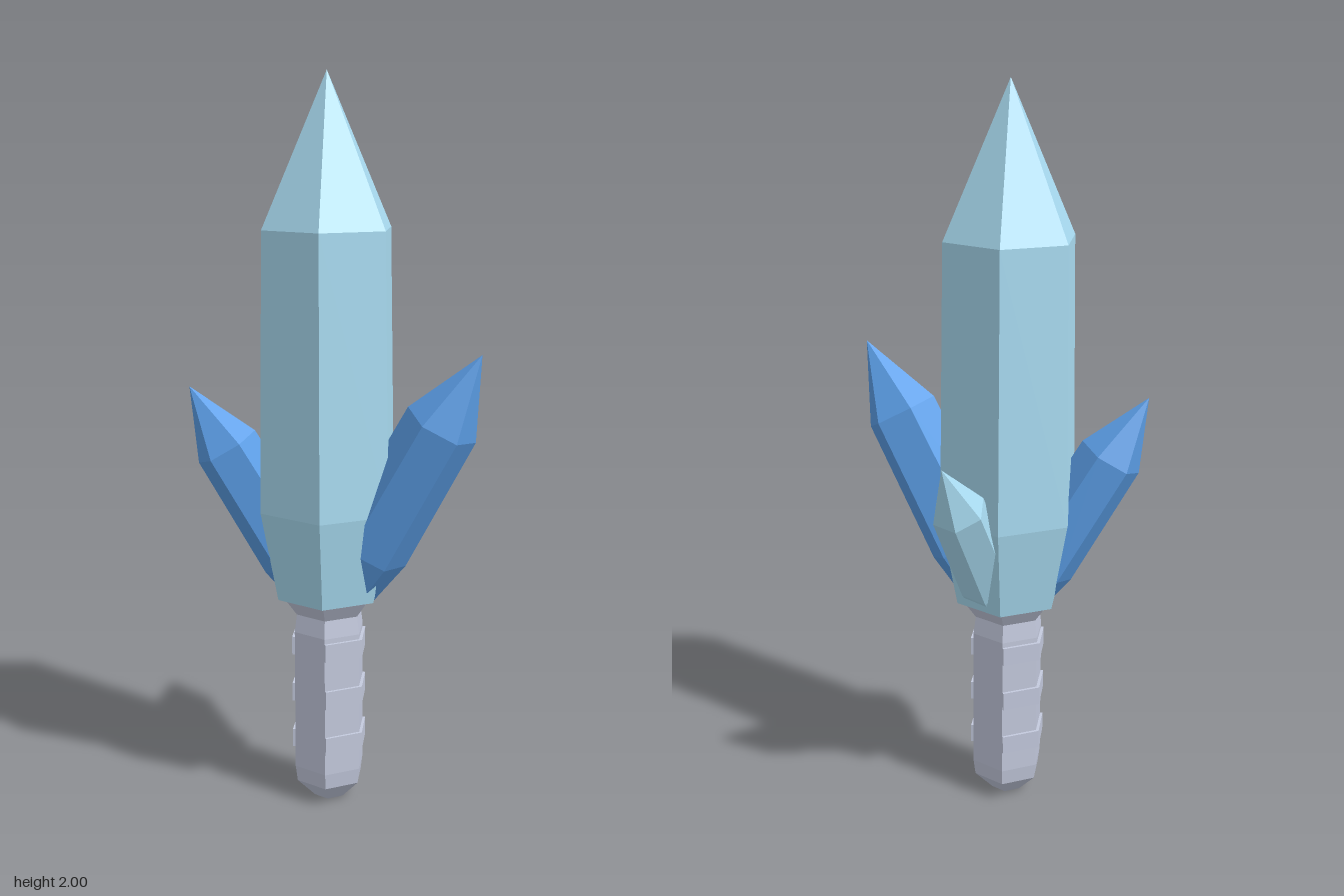
import * as THREE from 'three';

const AXIS = [-0.055, 0.042]; // x, z of the blade and grip

const material = (color) => new THREE.MeshStandardMaterial({ color, flatShading: true });

// Six-sided solid turned from [radius, height] pairs, bottom to top
function hexLathe(name, profile, mat, twist) {
  const points = profile.map(([r, y]) => new THREE.Vector2(r, y));
  const geometry = new THREE.LatheGeometry(points, 6).rotateY(twist);
  const mesh = new THREE.Mesh(geometry, mat);
  mesh.name = name;
  return mesh;
}

// Crystal with its tip at the origin, pointing up
const crystalProfile = [[0, -1.4], [0.15, -1.4], [0.198, -1.15], [0.185, -0.4], [0, 0]];

function crystal(name, tip, direction, scale, twist, mat) {
  const mesh = hexLathe(name, crystalProfile, mat, twist);
  mesh.position.set(...tip);
  mesh.scale.setScalar(scale);
  const up = new THREE.Vector3(0, 1, 0);
  mesh.quaternion.setFromUnitVectors(up, new THREE.Vector3(...direction).normalize());
  return mesh;
}

export function createModel() {
  const model = new THREE.Group();
  const ice = material(0xaaddf3);
  const blue = material(0x5c9fe8);
  const steel = material(0xc4cade);
  const flat = Math.PI / 6; // puts corners on the x axis

  // Blade and the shards growing out of it
  model.add(
    crystal('blade', [AXIS[0], 2, AXIS[1]], [0, 1, 0], 1, flat, ice),
    crystal('leftShard', [0.355, 1.29, -0.07], [0.47, 0.874, -0.12], 0.545, 0, blue),
    crystal('rightShard', [-0.36, 1.18, 0.255], [-0.47, 1, 0.35], 0.48, 0.12, blue),
    crystal('backShard', [-0.088, 1.06, -0.277], [-0.1, 1, -0.6], 0.4, flat, ice)
  );

  // Grip with rounded pommel and flared collar
  const gripProfile = [
    [0, 0], [0.045, 0], [0.098, 0.055], [0.104, 0.1],
    [0.103, 0.5], [0.096, 0.55], [0.128, 0.595], [0, 0.6],
  ];
  const grip = hexLathe('grip', gripProfile, steel, flat);
  grip.position.set(AXIS[0], 0, AXIS[1]);
  model.add(grip);

  // Raised bands wrapping the two sides of the grip
  const bandShape = new THREE.Shape(
    [[0.113, 0], [0.058, 0.093], [0.045, 0.085], [0.045, -0.085], [0.058, -0.093]]
      .map(([x, y]) => new THREE.Vector2(x, y))
  );
  const bandGeometry = new THREE.ExtrudeGeometry(bandShape, { depth: 0.052, bevelEnabled: false });
  bandGeometry.rotateX(-Math.PI / 2);
  for (const y of [0.16, 0.297, 0.434]) {
    for (const turn of [0, Math.PI]) {
      const band = new THREE.Mesh(bandGeometry, steel);
      band.name = 'gripBand';
      band.position.set(AXIS[0], y, AXIS[1]);
      band.rotation.y = turn;
      model.add(band);
    }
  }
  return model;
}
